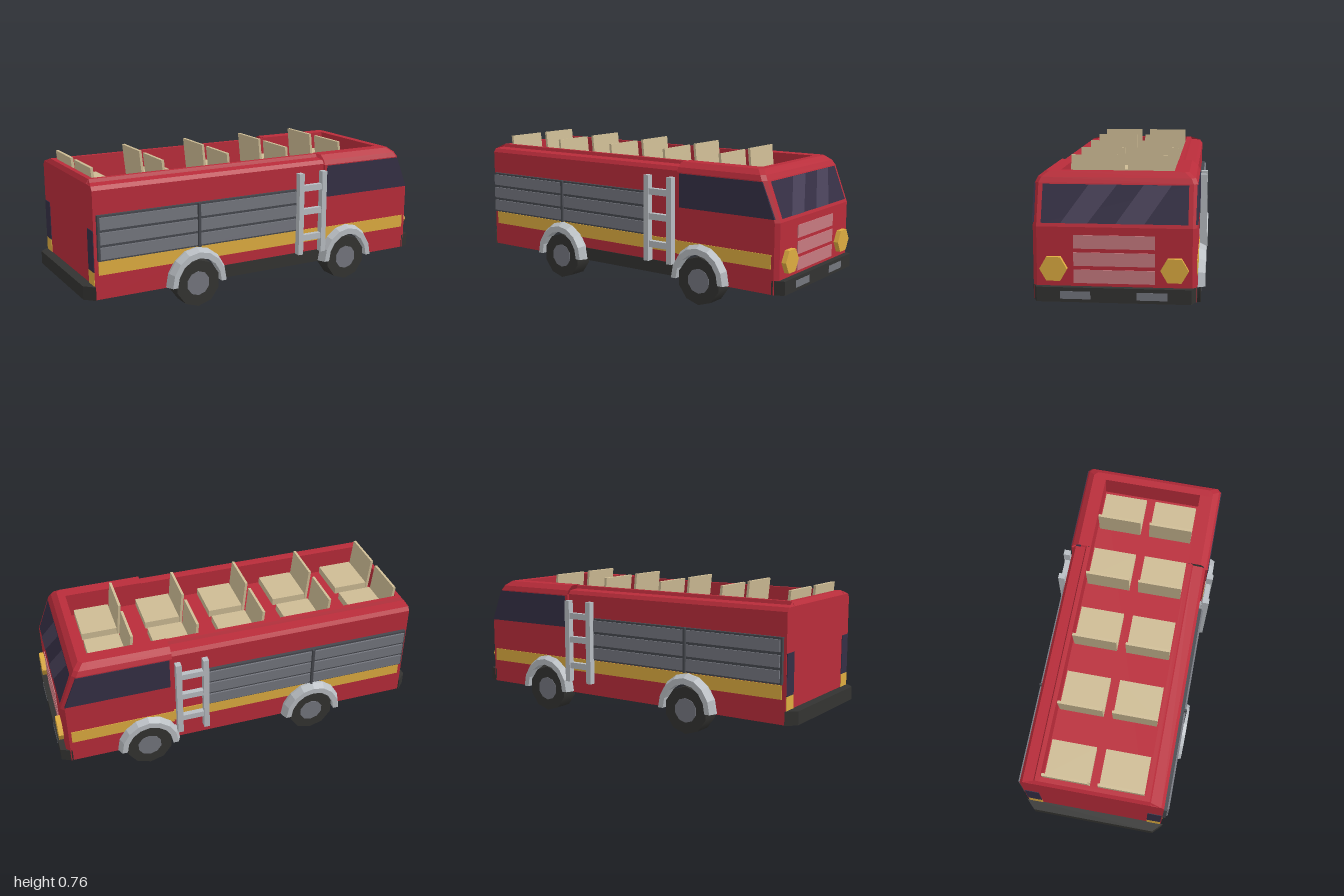
import * as THREE from 'three';

const mat = (color) => new THREE.MeshStandardMaterial({ color, flatShading: true, side: THREE.DoubleSide });
const RED = mat(0xb92c3a), YELLOW = mat(0xdeac40), DARK = mat(0x333331), GREY = mat(0x74767e);
const FRAME = mat(0x46484e), SILVER = mat(0xb8bdc2), GLASS = mat(0x352f45), GLINT = mat(0x484058);
const PINK = mat(0xc87a80), TAN = mat(0xcdbb94), TYRE = new THREE.MeshStandardMaterial({ color: 0x333331 });

function add(parent, name, geometry, material) {
  const mesh = new THREE.Mesh(geometry, material);
  mesh.name = name;
  parent.add(mesh);
  return mesh;
}

// Box given by its extents on each axis
function box(parent, name, material, [x0, x1], [y0, y1], [z0, z1]) {
  const g = new THREE.BoxGeometry(x1 - x0, y1 - y0, z1 - z0);
  g.translate((x0 + x1) / 2, (y0 + y1) / 2, (z0 + z1) / 2);
  return add(parent, name, g, material);
}

// Surface through rows of [x, y, z] points
function loft(rows) {
  const pos = [];
  for (let i = 0; i < rows.length - 1; i++) {
    for (let j = 0; j < rows[i].length - 1; j++) {
      const a = rows[i][j], b = rows[i][j + 1], c = rows[i + 1][j + 1], d = rows[i + 1][j];
      pos.push(...a, ...b, ...c, ...a, ...c, ...d);
    }
  }
  const g = new THREE.BufferGeometry();
  g.setAttribute('position', new THREE.Float32BufferAttribute(pos, 3));
  g.computeVertexNormals();
  return g;
}

const polygon = (pts) => new THREE.Shape(pts.map(([x, y]) => new THREE.Vector2(x, y)));
const extrude = (shape, depth) => new THREE.ExtrudeGeometry(shape, { depth, bevelEnabled: false, curveSegments: 8 });

const DECK = 0.58;
const WHEELS = [-0.4, 0.53];
const REAR_RIM = [[0.37, 0.67], [0.355, 0.69], [0.3, 0.695], [0.293, 0.712], [0.27, 0.712], [0.27, DECK]];
const CAB_RIM = [[0.383, 0.665], [0.372, 0.69], [0.34, 0.715], [0.27, 0.715], [0.27, DECK]];

// Side wall with a wheel arch cut out of its lower edge
function wall(x0, x1, top, arch, z0, z1) {
  const s = new THREE.Shape();
  s.moveTo(x0, 0.12);
  s.lineTo(arch - 0.14, 0.12);
  s.absarc(arch, 0.125, 0.14, Math.PI, 0, true);
  s.lineTo(arch + 0.14, 0.12);
  s.lineTo(x1, 0.12);
  s.lineTo(x1, top);
  s.lineTo(x0, top);
  return extrude(s, z1 - z0).translate(0, 0, z0);
}

// Top edge of the body; its highest points start further in by the inset
function rim(profile, x0, x1, inset) {
  const start = profile.map(([z, y]) => [y > 0.7 ? x0 + inset : x0, y, z]);
  return loft([start, profile.map(([z, y]) => [x1, y, z])]);
}

// Faceted mudguard swept over half a turn, slightly taller than wide
function fender(cx) {
  const section = [[0.14, 0.365], [0.14, 0.42], [0.172, 0.42], [0.19, 0.385], [0.19, 0.365]];
  const rows = [];
  for (let i = 0; i <= 8; i++) {
    const a = (i / 8) * Math.PI;
    rows.push(section.map(([r, z]) => [cx + 0.9 * r * Math.cos(a), 0.125 + r * Math.sin(a), z]));
  }
  return loft(rows);
}

function createSide() {
  const side = new THREE.Group();
  add(side, 'rearSideWall', wall(-0.95, 0.385, 0.67, WHEELS[0], 0.36, 0.37), RED);
  add(side, 'cabSideWall', wall(0.385, 0.81, 0.665, WHEELS[1], 0.36, 0.383), RED);
  add(side, 'rearRim', rim(REAR_RIM, -0.95, 0.385, 0.015), RED);
  add(side, 'cabRim', rim(CAB_RIM, 0.385, 0.81, 0), RED);

  // yellow band, its lower part broken at the wheel arches
  for (const [a, b, z, arch] of [[-0.93, 0.385, 0.374, WHEELS[0]], [0.385, 0.935, 0.386, WHEELS[1]]]) {
    box(side, 'sideStripe', YELLOW, [a, b], [0.265, 0.315], [0.365, z]);
    box(side, 'sideStripe', YELLOW, [a, arch - 0.075], [0.245, 0.265], [0.365, z]);
    box(side, 'sideStripe', YELLOW, [arch + 0.075, b], [0.245, 0.265], [0.365, z]);
  }

  // roller shutters in a dark frame
  box(side, 'shutterFrame', FRAME, [-0.935, 0.2], [0.32, 0.55], [0.365, 0.388]);
  for (const y of [0.33, 0.405, 0.48]) {
    for (const [a, b] of [[-0.925, -0.4], [-0.38, 0.195]]) {
      box(side, 'shutterSlat', GREY, [a, b], [y, y + 0.06], [0.37, 0.397]);
    }
  }
  box(side, 'shutterDivider', FRAME, [-0.396, -0.384], [0.32, 0.55], [0.37, 0.402]);

  // cab window, set through the wall
  const pane = polygon([[0.4, 0.487], [0.95, 0.487], [0.88, 0.66], [0.4, 0.66]]);
  add(side, 'sideWindow', extrude(pane, 0.03).translate(0, 0, 0.357), GLASS);

  // ladder
  for (const x of [0.2, 0.345]) box(side, 'ladderRail', SILVER, [x, x + 0.03], [0.19, 0.64], [0.385, 0.42]);
  for (const y of [0.265, 0.41, 0.54]) box(side, 'ladderRung', SILVER, [0.22, 0.355], [y, y + 0.033], [0.387, 0.415]);

  // wheels and mudguards
  for (const x of WHEELS) {
    add(side, 'fender', fender(x), SILVER);
    const tyre = new THREE.CylinderGeometry(0.125, 0.125, 0.097, 10).rotateX(Math.PI / 2);
    add(side, 'tyre', tyre, TYRE).position.set(x, 0.125, 0.3485);
    const hub = new THREE.CylinderGeometry(0.065, 0.065, 0.101, 10).rotateX(Math.PI / 2);
    add(side, 'hub', hub, GREY).position.set(x, 0.125, 0.3485);
  }

  // head lamp, bumper lamp and tail panels
  const lamp = new THREE.CylinderGeometry(0.065, 0.065, 0.03, 6).rotateZ(Math.PI / 2);
  add(side, 'headlight', lamp, YELLOW).position.set(0.98, 0.275, 0.282);
  box(side, 'bumperLight', GREY, [0.985, 1.001], [0.135, 0.172], [0.108, 0.25]);
  box(side, 'tailPanel', GLASS, [-0.953, -0.945], [0.26, 0.47], [0.29, 0.365]);
  box(side, 'tailLight', YELLOW, [-0.953, -0.945], [0.19, 0.26], [0.29, 0.365]);

  // row of seats with reclined backs
  for (const x of [-0.88, -0.5, -0.125, 0.237, 0.585]) {
    box(side, 'seatCushion', TAN, [x, x + 0.19], [DECK, 0.62], [0.025, 0.26]);
    const back = add(side, 'seatBack', new THREE.BoxGeometry(0.014, 0.18, 0.235), TAN);
    back.position.set(x - 0.017, 0.67, 0.1425);
    back.rotation.z = 0.1;
  }
  return side;
}

// Bumper tapering towards its outer face
function bumper(xIn, xOut, zIn, zOut) {
  const s = polygon([[xIn, -zIn], [xOut, -zOut], [xOut, zOut], [xIn, zIn]]);
  return extrude(s, 0.07).rotateX(-Math.PI / 2).translate(0, 0.12, 0);
}

export function createModel() {
  const model = new THREE.Group();
  model.name = 'openTopFireTruck';

  const near = createSide();
  near.name = 'rightSide';
  const far = createSide();
  far.name = 'leftSide';
  far.scale.z = -1;
  model.add(near, far);
  box(model, 'sill', DARK, [-0.24, 0.385], [0.12, 0.188], [0.362, 0.373]);

  // nose of the cab: rows of [height, front, half width], closed by a flat roof
  const noseRow = (y, f, w) => [[0.81, y, -w], [f - 0.02, y, -w], [f, y, -w + 0.02],
    [f, y, w - 0.02], [f - 0.02, y, w], [0.81, y, w]];
  const rows = [[0.12, 0.97, 0.383], [0.47, 0.97, 0.383], [0.665, 0.895, 0.383], [0.69, 0.88, 0.372], [0.715, 0.85, 0.34]]
    .map((r) => noseRow(...r));
  rows.push(rows[4].map(([, y, z]) => [0.81, y, z]));
  add(model, 'cabNose', loft(rows), RED);

  // rear wall with a bevelled top edge
  const half = [[0.37, 0.12], ...REAR_RIM.slice(0, 2)];
  const outline = polygon([...half, ...half.map(([z, y]) => [-z, y]).reverse()]);
  add(model, 'rearWall', extrude(outline, 0.04).rotateY(-Math.PI / 2).translate(-0.91, 0, 0), RED);
  const cap = [[-0.95, 0.69, 0.355], [-0.935, 0.712, 0.293], [-0.91, 0.712, 0.293], [-0.91, DECK, 0.293]];
  add(model, 'rearRimCap', loft(cap.map(([x, y, z]) => [[x, y, -z], [x, y, z]])), RED);

  // deck and front of the passenger well
  box(model, 'deck', RED, [-0.93, 0.81], [DECK - 0.01, DECK], [-0.27, 0.27]);
  box(model, 'wellFrontWall', RED, [0.81, 0.82], [DECK - 0.01, 0.714], [-0.27, 0.27]);

  // windscreen with slanted glints
  const onGlass = (y, z, lift) => [0.97 - (y - 0.47) * 0.385 + lift, y, z];
  const pane = (b0, b1, t0, t1, lift) => loft([
    [onGlass(0.487, b0, lift), onGlass(0.487, b1, lift)],
    [onGlass(0.66, t0, lift), onGlass(0.66, t1, lift)]]);
  add(model, 'windscreen', pane(0.342, -0.342, 0.342, -0.342, 0.004), GLASS);
  add(model, 'glint', pane(0.25, 0.125, 0.125, -0.007, 0.006), GLINT);
  add(model, 'glint', pane(-0.007, -0.14, -0.132, -0.262, 0.006), GLINT);

  // grille strips and bumpers
  for (const y of [0.205, 0.287, 0.369]) box(model, 'grilleStrip', PINK, [0.965, 0.974], [y, y + 0.064], [-0.19, 0.19]);
  add(model, 'frontBumper', bumper(0.94, 1, 0.386, 0.36), DARK);
  add(model, 'rearBumper', bumper(-0.95, -1, 0.38, 0.33), DARK);
  return model;
}
